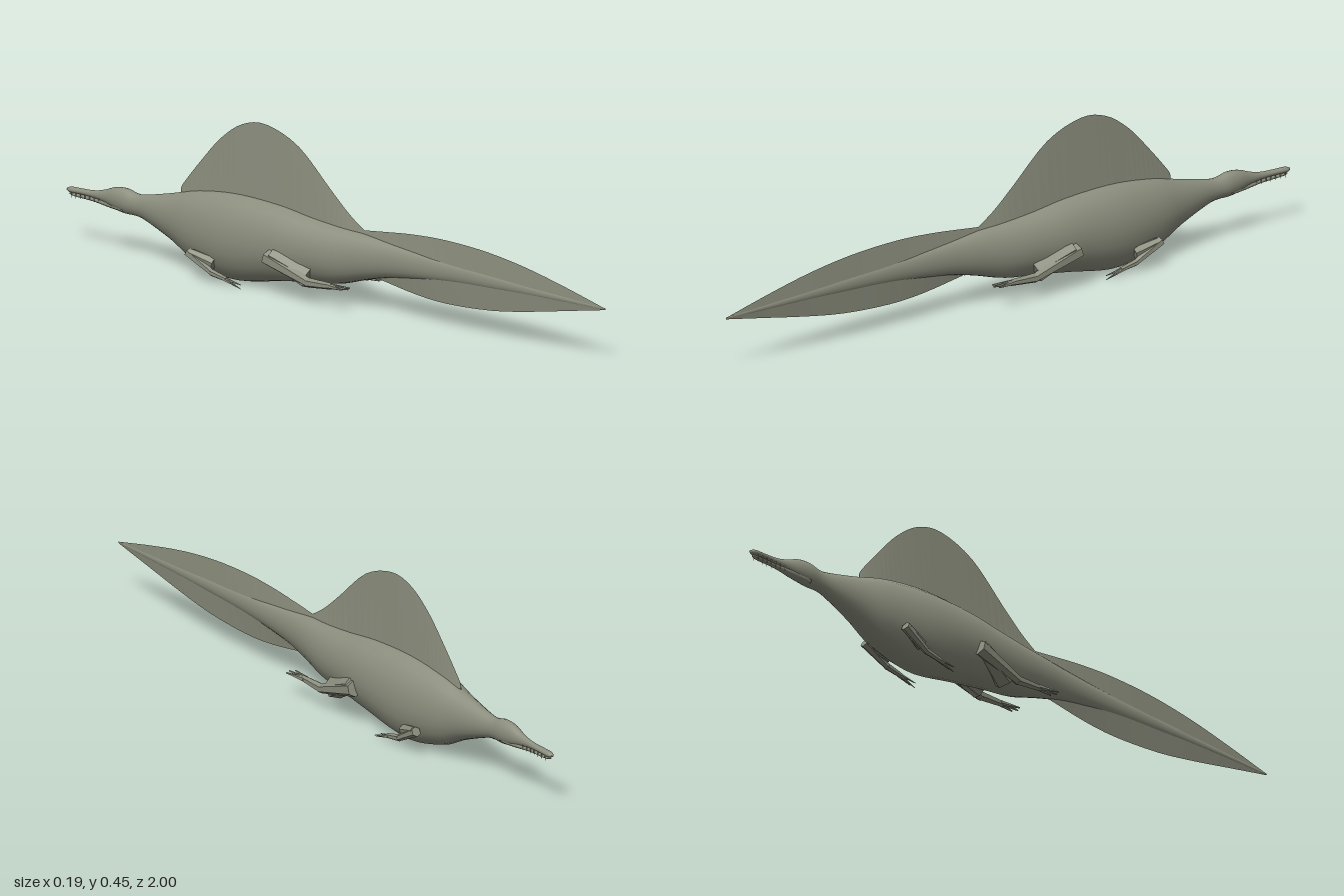
import * as THREE from 'three';

const hide = new THREE.MeshStandardMaterial({ color: 0x8c8f7e });
hide.name = 'greyGreenHide';

// Joins closed rings of [x, y, z] points running towards +z, with capped ends
function loft(rings, smooth) {
  const n = rings[0].length, pos = rings.flat(2), idx = [];
  for (let i = 0; i < rings.length - 1; i++) {
    for (let j = 0; j < n; j++) {
      const a = i * n + j, b = i * n + (j + 1) % n;
      idx.push(a, b, b + n, a, b + n, a + n);
    }
  }
  const last = (rings.length - 1) * n;
  for (let j = 1; j < n - 1; j++) idx.push(0, j + 1, j, last, last + j, last + j + 1);
  const indexed = new THREE.BufferGeometry();
  indexed.setAttribute('position', new THREE.Float32BufferAttribute(pos, 3));
  indexed.setIndex(idx);
  const geo = smooth ? indexed : indexed.toNonIndexed();
  geo.computeVertexNormals();
  return geo;
}

function add(parent, name, geo) {
  const mesh = new THREE.Mesh(geo, hide);
  mesh.name = name;
  parent.add(mesh);
  return mesh;
}

const spline = (pts) => new THREE.CatmullRomCurve3(pts.map((p) => new THREE.Vector3(...p)), false, 'catmullrom', 0.5);

// Smooth oval body from stations of [z, bottom, top, halfWidth]
function ovalBody(stations, steps, sides) {
  const edges = spline(stations.map(([z, b, t]) => [z, b, t]));
  const widths = spline(stations.map(([z, , , w]) => [z, w, 0]));
  const rings = [];
  for (let i = 0; i <= steps; i++) {
    const e = edges.getPoint(i / steps), w = widths.getPoint(i / steps).y;
    const ring = [];
    for (let j = 0; j < sides; j++) {
      const a = (j / sides) * Math.PI * 2;
      ring.push([Math.cos(a) * w, (e.y + e.z) / 2 + Math.sin(a) * (e.z - e.y) / 2, e.x]);
    }
    rings.push(ring);
  }
  return loft(rings, true);
}

// Thin wedge-shaped fin from [z, edgeY, baseY, halfThickness]
function fin(stations, steps) {
  const edge = spline(stations.map(([z, e, b]) => [z, e, b]));
  const thick = spline(stations.map(([z, , , w]) => [z, w, 0]));
  const rings = [];
  for (let i = 0; i <= steps; i++) {
    const p = edge.getPoint(i / steps), w = thick.getPoint(i / steps).y;
    const s = p.y > p.z ? w : -w;
    rings.push([[s, p.z, p.x], [0, p.y, p.x], [-s, p.z, p.x]]);
  }
  return loft(rings, false);
}

// Faceted, tapered limb piece between two points
function segment(parent, name, from, to, r0, r1, flat = 1, sides = 6) {
  const a = new THREE.Vector3(...from), b = new THREE.Vector3(...to);
  const geo = new THREE.CylinderGeometry(r1, r0, a.distanceTo(b), sides).toNonIndexed();
  geo.scale(flat, 1, 1);
  geo.computeVertexNormals();
  const mesh = add(parent, name, geo);
  mesh.position.copy(a).add(b).multiplyScalar(0.5);
  mesh.quaternion.setFromUnitVectors(new THREE.Vector3(0, 1, 0), b.sub(a).normalize());
  return mesh;
}

export function createModel() {
  const model = new THREE.Group();
  model.name = 'sailBackedSwimmer';

  // Snout, head, neck, trunk and tail in one skin
  add(model, 'body', ovalBody([
    [-1.0, 0.148, 0.155, 0.004], [-0.985, 0.144, 0.16, 0.01], [-0.95, 0.145, 0.161, 0.01],
    [-0.9, 0.143, 0.164, 0.009], [-0.86, 0.137, 0.173, 0.013], [-0.82, 0.126, 0.187, 0.02],
    [-0.78, 0.12, 0.19, 0.023], [-0.74, 0.12, 0.182, 0.021], [-0.7, 0.112, 0.186, 0.024],
    [-0.6, 0.075, 0.208, 0.042], [-0.5, 0.03, 0.234, 0.063], [-0.36, 0.006, 0.25, 0.077],
    [-0.2, 0.03, 0.245, 0.074], [-0.08, 0.048, 0.23, 0.064], [0.02, 0.06, 0.22, 0.052],
    [0.12, 0.088, 0.212, 0.036], [0.22, 0.11, 0.202, 0.023], [0.4, 0.13, 0.187, 0.012],
    [0.6, 0.14, 0.177, 0.008], [0.8, 0.147, 0.167, 0.005], [1.0, 0.152, 0.157, 0.001],
  ], 90, 20));

  // Lower jaw
  add(model, 'lowerJaw', ovalBody([
    [-0.99, 0.139, 0.144, 0.004], [-0.97, 0.136, 0.145, 0.009], [-0.9, 0.133, 0.145, 0.008],
    [-0.84, 0.127, 0.145, 0.014], [-0.78, 0.122, 0.145, 0.018],
  ], 16, 12));

  // Back sail
  add(model, 'backSail', fin([
    [-0.578, 0.225, 0.195, 0.003], [-0.565, 0.245, 0.195, 0.007], [-0.5, 0.318, 0.21, 0.01],
    [-0.43, 0.389, 0.22, 0.011], [-0.35, 0.441, 0.225, 0.012], [-0.26, 0.455, 0.22, 0.012],
    [-0.14, 0.414, 0.215, 0.012], [-0.02, 0.314, 0.2, 0.011], [0.05, 0.257, 0.195, 0.009],
    [0.11, 0.219, 0.19, 0.004],
  ], 36));

  // Tail fins above and below
  add(model, 'upperTailFin', fin([
    [0.1, 0.222, 0.17, 0.008], [0.18, 0.231, 0.165, 0.009], [0.28, 0.241, 0.16, 0.009],
    [0.4, 0.246, 0.158, 0.008], [0.55, 0.24, 0.157, 0.006], [0.7, 0.221, 0.156, 0.005],
    [0.85, 0.191, 0.155, 0.003], [1.0, 0.156, 0.154, 0.001],
  ], 24));
  add(model, 'lowerTailFin', fin([
    [0.16, 0.096, 0.14, 0.008], [0.3, 0.076, 0.15, 0.009], [0.42, 0.07, 0.155, 0.008],
    [0.58, 0.079, 0.156, 0.006], [0.72, 0.1, 0.156, 0.005], [0.86, 0.126, 0.155, 0.003],
    [1.0, 0.152, 0.154, 0.001],
  ], 18));

  for (const s of [1, -1]) {
    const side = s > 0 ? 'left' : 'right';

    // Teeth along the snout
    for (let i = 0; i < 9; i++) {
      const z = -0.978 + i * 0.017;
      segment(model, side + 'Tooth', [s * 0.008, 0.147, z], [s * 0.009, 0.133, z], 0.0025, 0.0004, 1, 4);
    }

    // Hind leg: thigh forward to the knee, shank swept back
    const hind = new THREE.Group();
    hind.name = side + 'HindLeg';
    model.add(hind);
    segment(hind, 'thigh', [s * 0.042, 0.072, -0.06], [s * 0.071, 0.118, -0.175], 0.034, 0.021);
    segment(hind, 'shank', [s * 0.073, 0.112, -0.188], [s * 0.071, 0.064, -0.03], 0.023, 0.013);
    segment(hind, 'ankle', [s * 0.071, 0.066, -0.04], [s * 0.072, 0.07, 0.05], 0.014, 0.009);
    for (const k of [-1, 0, 1]) {
      segment(hind, 'hindToe', [s * 0.072 + k * 0.004, 0.07, 0.04],
        [s * 0.073 + k * 0.015, 0.072, 0.112 - Math.abs(k) * 0.008], 0.007, 0.002, 1, 5);
    }

    // Foreleg: short upper arm, forearm swept back, small clawed hand
    const fore = new THREE.Group();
    fore.name = side + 'Foreleg';
    model.add(fore);
    segment(fore, 'upperArm', [s * 0.058, 0.055, -0.4], [s * 0.077, 0.077, -0.47], 0.018, 0.013);
    segment(fore, 'forearm', [s * 0.077, 0.078, -0.478], [s * 0.073, 0.032, -0.39], 0.014, 0.009);
    segment(fore, 'hand', [s * 0.073, 0.034, -0.395], [s * 0.073, 0.024, -0.34], 0.01, 0.007);
    for (const k of [-1, 0, 1]) {
      segment(fore, 'foreClaw', [s * 0.073 + k * 0.003, 0.024, -0.348],
        [s * 0.073 + k * 0.01, 0.006 + Math.abs(k) * 0.008, -0.288 - Math.abs(k) * 0.008], 0.005, 0.001, 1, 5);
    }
  }
  return model;
}
